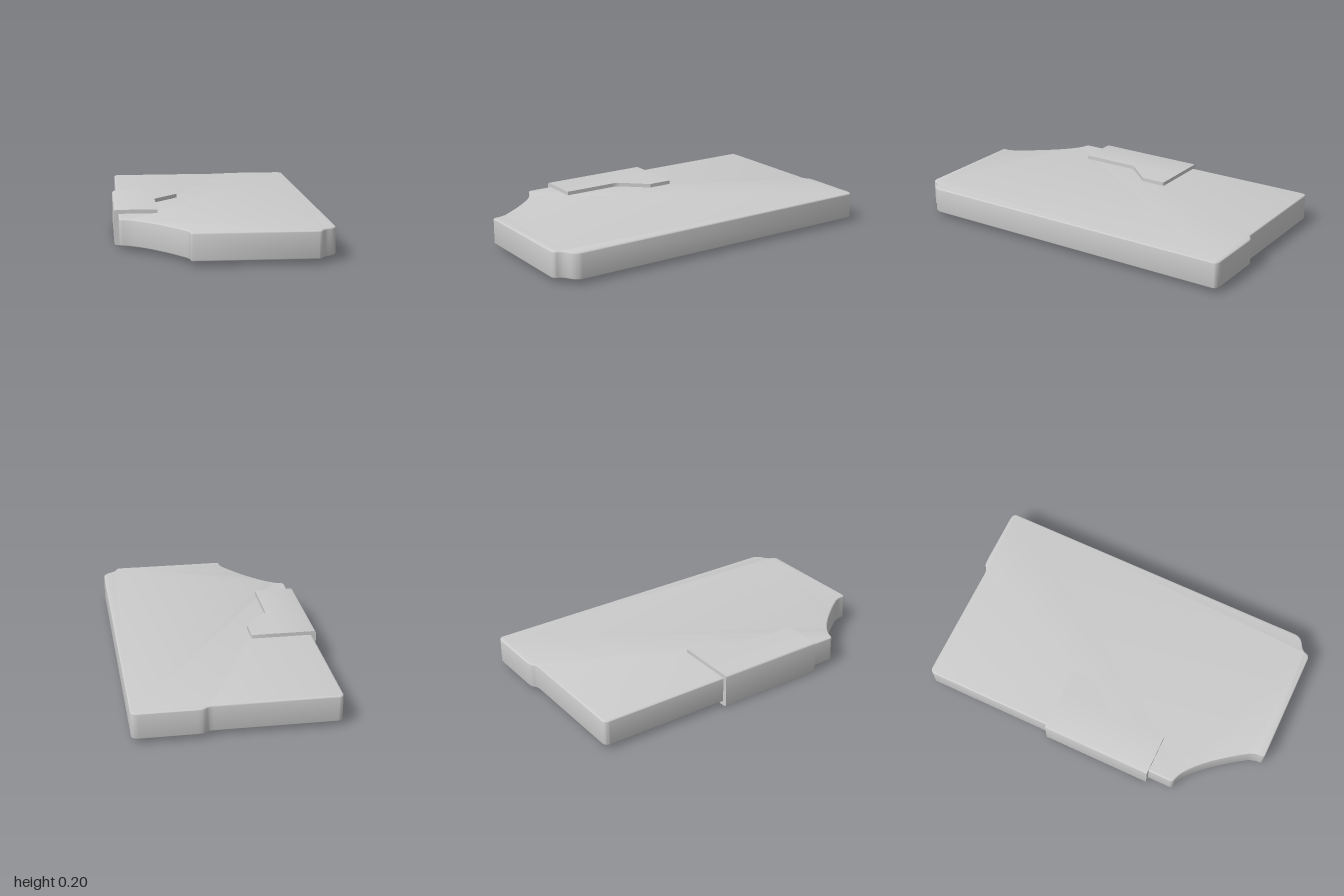
import * as THREE from 'three';
import { toCreasedNormals } from 'three/addons/utils/BufferGeometryUtils.js';

const material = new THREE.MeshStandardMaterial({ color: 0xcccccc });

function mesh(name, geometry) {
  const m = new THREE.Mesh(toCreasedNormals(geometry, 0.6), material);
  m.name = name;
  return m;
}

// Extrudes a plan shape (drawn in x and -z) upwards from y0 to y1
function slab(name, shape, y0, y1, bevel = 0) {
  const geometry = new THREE.ExtrudeGeometry(shape, {
    depth: y1 - y0 - 2 * bevel, curveSegments: 10,
    bevelEnabled: bevel > 0, bevelThickness: bevel, bevelSize: bevel, bevelOffset: -bevel, bevelSegments: 3,
  });
  geometry.rotateX(-Math.PI / 2).translate(0, y0 + bevel, 0);
  return mesh(name, geometry);
}

// Flat case outline, counter-clockwise from the front right corner
function bodyShape() {
  const s = new THREE.Shape();
  s.moveTo(-0.18, -0.993);
  s.lineTo(0.46, -0.993);
  s.quadraticCurveTo(0.485, -0.99, 0.49, -0.97);
  s.quadraticCurveTo(0.498, -0.942, 0.535, -0.925); // chamfered front corner
  s.quadraticCurveTo(0.575, -0.905, 0.575, -0.86);
  s.lineTo(0.575, 0.975);
  s.quadraticCurveTo(0.57, 1, 0.53, 1);
  s.lineTo(0.23, 1);
  s.bezierCurveTo(0.17, 1, 0.195, 0.973, 0.14, 0.973); // step in the back edge
  s.lineTo(-0.52, 0.973);
  s.quadraticCurveTo(-0.55, 0.97, -0.55, 0.94);
  s.lineTo(-0.55, -0.56);
  s.quadraticCurveTo(-0.55, -0.58, -0.53, -0.585);
  s.bezierCurveTo(-0.44, -0.605, -0.31, -0.76, -0.215, -0.905); // scooped corner
  s.quadraticCurveTo(-0.195, -0.94, -0.195, -0.975);
  s.quadraticCurveTo(-0.195, -0.993, -0.18, -0.993);
  return s;
}

// Bracket section that wraps the edge of the case
function bracketShape() {
  const s = new THREE.Shape(), r = 0.015, top = 0.197;
  s.moveTo(-0.335, 0);
  s.lineTo(-0.335, 0.03);
  s.lineTo(-0.545, 0.03);
  s.lineTo(-0.545, top - 0.03);
  s.lineTo(-0.335, top - 0.03);
  s.lineTo(-0.335, top);
  s.lineTo(-0.575 + r, top);
  s.quadraticCurveTo(-0.575, top, -0.575, top - r);
  s.lineTo(-0.575, r);
  s.quadraticCurveTo(-0.575, 0, -0.575 + r, 0);
  s.closePath();
  return s;
}

// Tapered tongue on each face of the bracket
function tongueShape() {
  const s = new THREE.Shape();
  s.moveTo(-0.335, 0.21);
  s.lineTo(-0.335, -0.115);
  s.quadraticCurveTo(-0.335, -0.09, -0.318, -0.072);
  s.lineTo(-0.195, 0.065);
  s.lineTo(-0.195, 0.198);
  s.quadraticCurveTo(-0.195, 0.21, -0.21, 0.21);
  s.closePath();
  return s;
}

export function createModel() {
  const group = new THREE.Group();
  group.name = 'caseWithClip';
  group.add(slab('body', bodyShape(), 0.024, 0.175, 0.008));

  const clip = new THREE.Group();
  clip.name = 'clip';
  const bracket = new THREE.ExtrudeGeometry(bracketShape(), { depth: 0.64, bevelEnabled: false, curveSegments: 6 });
  bracket.translate(0, 0, -0.21);
  clip.add(
    mesh('clipBracket', bracket),
    slab('clipTongueTop', tongueShape(), 0.167, 0.197),
    slab('clipTongueBottom', tongueShape(), 0, 0.03),
  );
  group.add(clip);
  return group;
}
